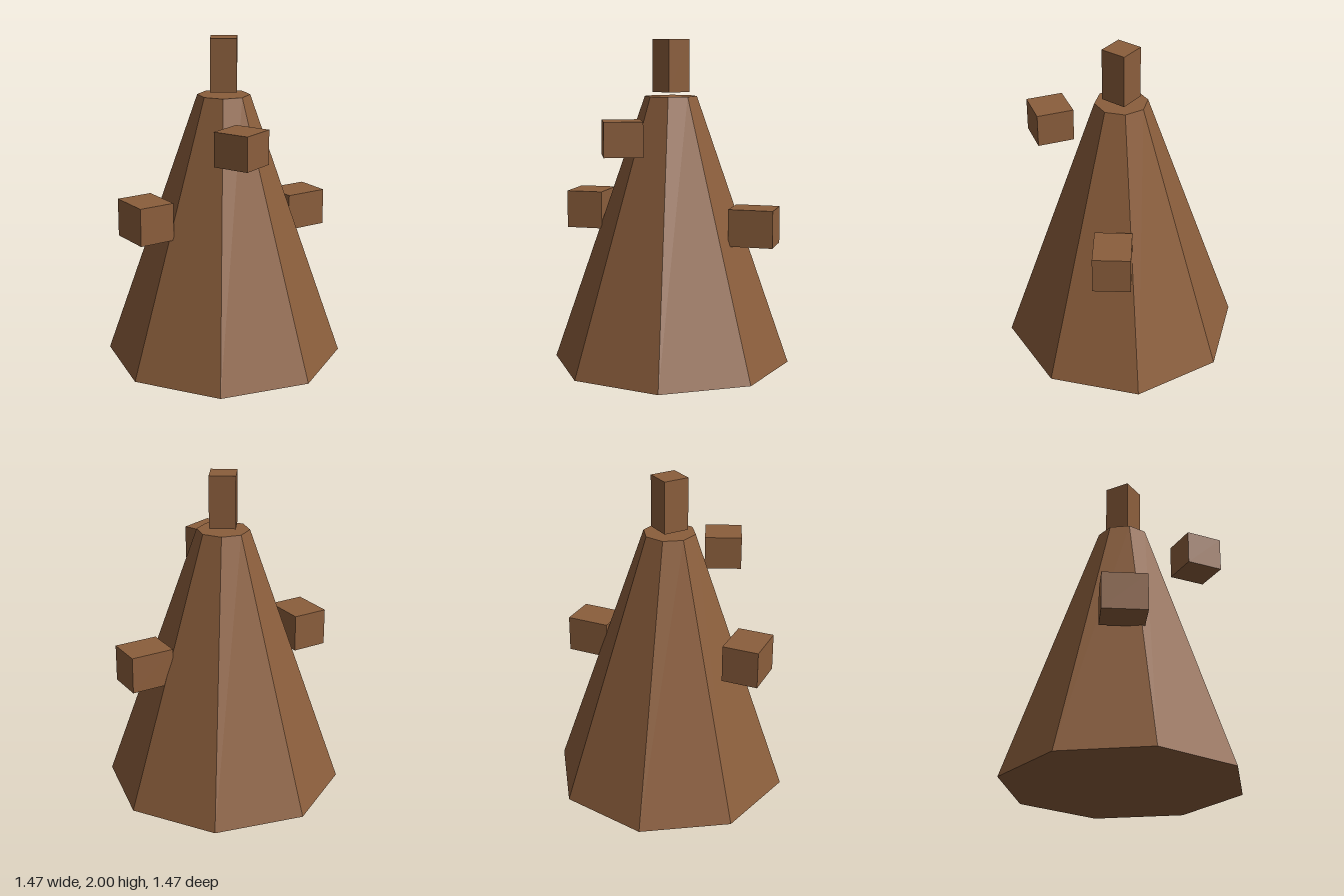
import * as THREE from 'three';

export function createModel() {
  const model = new THREE.Group();
  model.name = 'steppedCone';

  const brown = new THREE.MeshStandardMaterial({ color: 0x8b5e3c });
  brown.name = 'brown';
  brown.flatShading = true;

  const add = (name, geometry, x, y, z, turn = 0) => {
    const mesh = new THREE.Mesh(geometry, brown);
    mesh.name = name;
    mesh.position.set(x, y, z);
    mesh.rotation.y = turn;
    model.add(mesh);
  };

  // Eight-sided tapering body, with corners on the x and z axes
  const bodyHeight = 1.655;
  add('body', new THREE.CylinderGeometry(0.16, 0.735, bodyHeight, 8), 0, bodyHeight / 2, 0);

  // Upright block hovering just above the flat top
  add('topPost', new THREE.BoxGeometry(0.16, 0.32, 0.16), 0, 1.84, 0);

  // Turned blocks around the flanks: name, size, centre, turn
  const blocks = [
    ['frontBlock', [0.227, 0.205, 0.227], [0.113, 1.428, 0.458], -0.575],
    ['rightBlock', [0.27, 0.23, 0.225], [-0.459, 0.945, 0.275], -0.951],
    ['leftBlock', [0.27, 0.225, 0.225], [0.457, 0.878, -0.277], 0.603],
  ];
  for (const [name, size, centre, turn] of blocks) {
    add(name, new THREE.BoxGeometry(...size), ...centre, turn);
  }

  return model;
}
